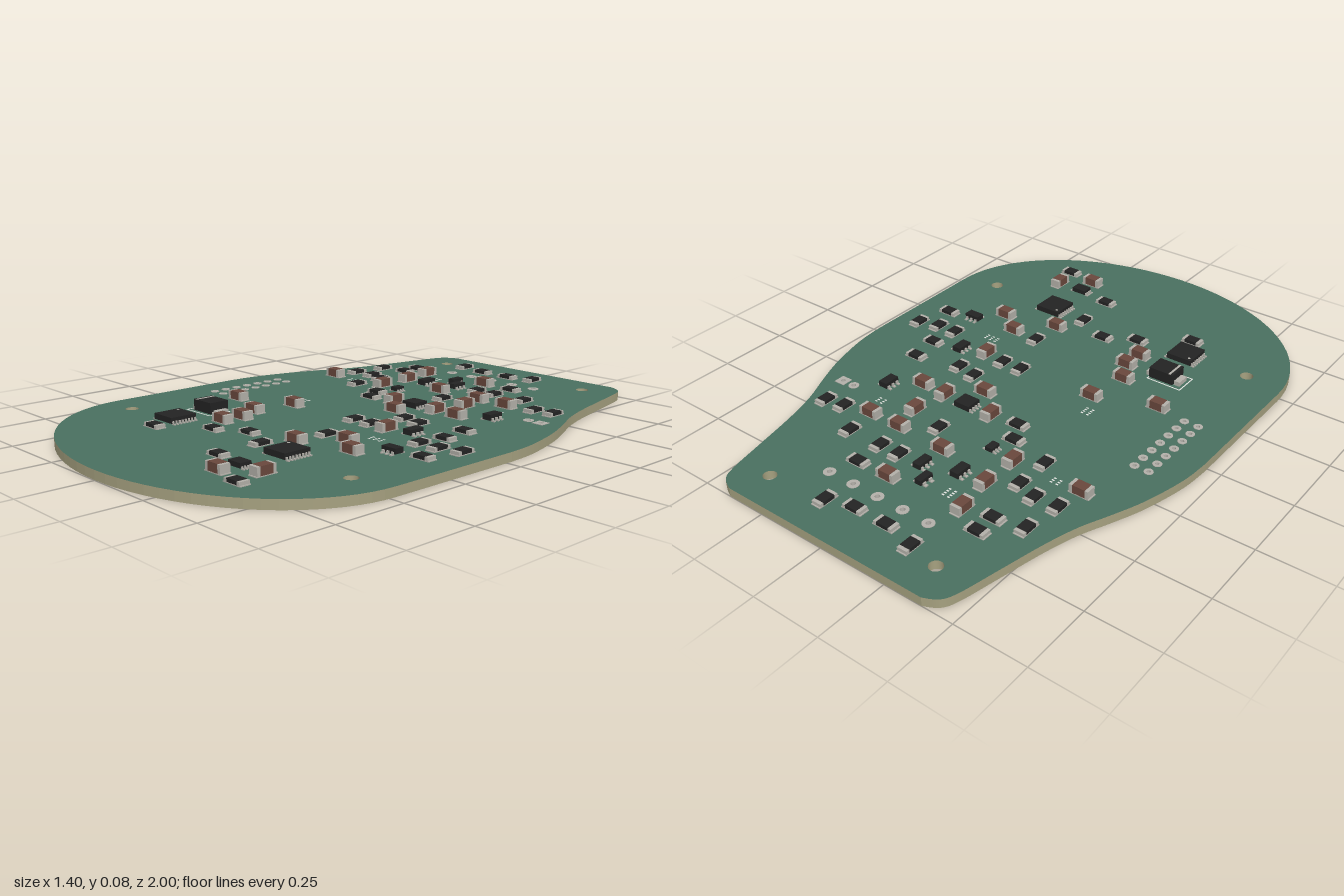
import * as THREE from 'three';

const TOP = 0.032; // board surface height

const mat = (name, color, extra) => Object.assign(new THREE.MeshStandardMaterial({ color }), { name }, extra);

export function createModel() {
  const root = new THREE.Group();
  root.name = 'circuitBoard';
  const green = mat('solderMaskGreen', 0x4a7060);
  const tan = mat('fibreglassTan', 0xa6a180);
  const black = mat('componentBlack', 0x232323);
  const brown = mat('capacitorBrown', 0x6a483d);
  const silver = mat('solderSilver', 0xb4b1aa);
  const white = mat('silkscreenWhite', 0xe4e6e2);

  const add = (parent, name, geo, material, x = 0, y = 0, z = 0) => {
    const m = new THREE.Mesh(geo, material);
    m.name = name;
    m.position.set(x, y, z);
    parent.add(m);
    return m;
  };
  // box standing on height y0
  const box = (parent, name, material, w, h, d, x, y0, z) =>
    add(parent, name, new THREE.BoxGeometry(w, h, d), material, x, y0 + h / 2, z);
  const group = (name, x, z, turned = false) => {
    const g = new THREE.Group();
    g.name = name;
    g.position.set(x, TOP, z);
    if (turned) g.rotation.y = Math.PI / 2;
    root.add(g);
    return g;
  };

  // Through holes: [x, z, pad radius, hole radius]
  const mounts = [[-0.34, -0.882], [0.34, -0.882], [-0.56, 0.516], [0.56, 0.516]];
  const pads = [];
  for (let i = 0; i < 5; i++) pads.push([-0.202 + i * 0.102, -0.758, 0.021, 0.009]);
  for (let r = 0; r < 7; r++) for (const x of [-0.581, -0.529]) pads.push([x, -0.161 + r * 0.0505, 0.016, 0.007]);
  pads.push([0.494, -0.362, 0.019, 0.009], [0.545, -0.362, 0.021, 0.009, true]);

  const circlePath = (x, y, r) => {
    const p = new THREE.Path();
    p.absarc(x, y, r, 0, Math.PI * 2, true);
    return p;
  };

  // Board outline: narrow straight top, waisted sides, elliptical bottom (shape y = -z)
  const side = [[0.435, 0.975], [0.46, 0.925], [0.49, 0.79], [0.525, 0.63], [0.56, 0.51], [0.605, 0.405],
    [0.645, 0.305], [0.675, 0.2], [0.693, 0.11], [0.7, 0.02]].map(p => new THREE.Vector2(...p));
  const outline = new THREE.Shape();
  outline.moveTo(-0.39, 1);
  outline.splineThru([...side].map(p => new THREE.Vector2(-p.x, p.y)));
  outline.lineTo(-0.7, -0.48);
  outline.absellipse(0, -0.48, 0.7, 0.52, Math.PI, Math.PI * 2, false);
  outline.lineTo(0.7, 0.02);
  outline.splineThru([...side].reverse().slice(1).concat(new THREE.Vector2(0.39, 1)));
  outline.closePath();
  for (const [x, z] of mounts) outline.holes.push(circlePath(x, -z, 0.023));
  for (const [x, z, , r] of pads) outline.holes.push(circlePath(x, -z, r));
  const boardGeo = new THREE.ExtrudeGeometry(outline, { depth: TOP - 0.001, bevelEnabled: false, curveSegments: 20 });
  boardGeo.rotateX(-Math.PI / 2);
  add(root, 'board', boardGeo, [green, tan], 0, 0.001, 0);

  // Plated rings on both faces
  for (const [x, z, R, r, square] of pads) {
    const s = new THREE.Shape();
    if (square) s.moveTo(-R, -R).lineTo(R, -R).lineTo(R, R).lineTo(-R, R).closePath();
    else s.absarc(0, 0, R, 0, Math.PI * 2, false);
    s.holes.push(circlePath(0, 0, r * 0.95));
    const g = new THREE.ExtrudeGeometry(s, { depth: TOP + 0.002, bevelEnabled: false, curveSegments: 8 });
    add(root, 'platedHole', g.rotateX(-Math.PI / 2), silver, x, 0, z);
  }

  // Two-terminal chips, long axis on x unless turned
  const chip = (name, material, h, turned) => ([x, z]) => {
    const g = group(name, x, z, turned);
    box(g, 'solderPads', silver, 0.078, 0.003, 0.038, 0, 0, 0);
    box(g, 'body', material, 0.046, h, 0.037, 0, 0, 0);
    for (const s of [-1, 1]) box(g, 'terminal', silver, 0.012, h - 0.001, 0.037, s * 0.029, 0, 0);
  };
  const resistorsAcross = [[-0.111, -0.839], [0.016, -0.839], [-0.339, -0.701], [-0.339, -0.627], [0.169, -0.669],
    [-0.148, -0.283], [-0.106, -0.209], [0.45, -0.087], [0.466, 0.024], [0.566, 0.23], [-0.011, 0.426],
    [-0.127, 0.484], [-0.291, 0.601], [0.127, 0.653], [0.381, 0.78]];
  const resistorsAlong = [[-0.228, -0.865], [0.116, -0.865], [-0.444, -0.606], [-0.46, -0.474], [-0.376, -0.479],
    [-0.302, -0.452], [-0.302, -0.325], [0.095, -0.563], [0.175, -0.563], [0.312, -0.563], [0.09, -0.378],
    [0.429, -0.474], [0.503, -0.484], [0.201, -0.066], [0.28, -0.05], [0.095, 0.066], [0.175, 0.066],
    [0.45, 0.124], [0.529, 0.124], [0.608, 0.103], [0.175, 0.262], [0.116, 0.484]];
  const capacitorsAcross = [[0.042, -0.669], [0, -0.463], [0.196, -0.452], [0.323, -0.452], [-0.476, -0.373],
    [0.302, -0.214], [0.101, -0.124], [-0.201, 0.077], [-0.418, 0.156], [-0.228, 0.235], [-0.185, 0.32],
    [-0.19, 0.399], [0.169, 0.384], [0.28, 0.267], [0.376, 0.341], [0.259, 0.754]];
  const capacitorsAlong = [[-0.238, -0.648], [-0.217, -0.516], [-0.217, -0.378], [0, -0.22], [0.201, -0.22],
    [0.222, -0.347], [0.259, 0.077], [0.365, 0.675]];
  resistorsAcross.forEach(chip('resistor', black, 0.015, false));
  resistorsAlong.forEach(chip('resistor', black, 0.015, true));
  capacitorsAcross.forEach(chip('capacitor', brown, 0.032, false));
  capacitorsAlong.forEach(chip('capacitor', brown, 0.032, true));

  // Packages with legs on two sides: [x, z, width, depth, height, legs per side, turned]
  const packages = [
    [-0.058, -0.617, 0.026, 0.055, 0.022, 2], [-0.122, -0.521, 0.034, 0.06, 0.024, 3],
    [0, -0.558, 0.03, 0.058, 0.022, 3], [-0.122, -0.362, 0.028, 0.04, 0.018, 3],
    [0.402, -0.283, 0.034, 0.06, 0.024, 3], [0.354, 0.05, 0.034, 0.06, 0.022, 3],
    [0.46, 0.252, 0.034, 0.058, 0.022, 3, true], [0.101, -0.222, 0.062, 0.058, 0.024, 4],
    [0.259, 0.675, 0.058, 0.042, 0.02, 4],
    [-0.323, 0.497, 0.098, 0.1, 0.024, 8], [0.259, 0.497, 0.098, 0.1, 0.024, 8],
  ];
  for (const [x, z, w, d, h, n, turned] of packages) {
    const g = group('integratedCircuit', x, z, turned);
    box(g, 'body', black, w, h - 0.004, d, 0, 0.004, 0);
    const pitch = d / n;
    for (const s of [-1, 1]) for (let i = 0; i < n; i++) {
      const lz = (i + 0.5) * pitch - d / 2;
      box(g, 'legFoot', silver, 0.014, 0.004, pitch * 0.45, s * (w / 2 + 0.006), 0, lz);
      box(g, 'legShoulder', silver, 0.006, h * 0.5, pitch * 0.45, s * (w / 2 + 0.002), 0, lz);
    }
    if (w > 0.09) add(g, 'pinOneMark', new THREE.CylinderGeometry(0.005, 0.005, 0.001, 10), silver, -0.035, h + 0.0005, -0.036);
  }

  // Large diode with printed frame
  const diode = group('diode', -0.354, 0.338);
  box(diode, 'body', black, 0.094, 0.039, 0.075, 0.016, 0.004, 0);
  box(diode, 'cathodeBand', silver, 0.008, 0.001, 0.075, -0.017, 0.043, 0);
  for (const x of [-0.042, 0.07]) box(diode, 'terminal', silver, 0.022, 0.016, 0.05, x, 0, 0);
  for (const s of [-1, 1]) {
    box(diode, 'printedFrame', white, 0.132, 0.001, 0.004, 0, 0, s * 0.044);
    box(diode, 'printedFrame', white, 0.004, 0.001, 0.09, s * 0.065, 0, 0);
  }

  // Empty footprints: little rows of bare pads [x, z, columns, rows]
  const footprints = [[-0.158, -0.614, 2, 4], [-0.381, -0.373, 2, 3], [0.354, -0.373, 2, 3],
    [-0.241, -0.003, 2, 4], [0.315, 0.177, 3, 3]];
  for (const [x, z, cols, rows] of footprints) {
    const g = group('emptyFootprint', x, z);
    for (let c = 0; c < cols; c++) for (let r = 0; r < rows; r++)
      box(g, 'barePad', white, 0.009, 0.001, 0.005, (c - (cols - 1) / 2) * 0.022, 0, (r - (rows - 1) / 2) * 0.011);
  }
  return root;
}
